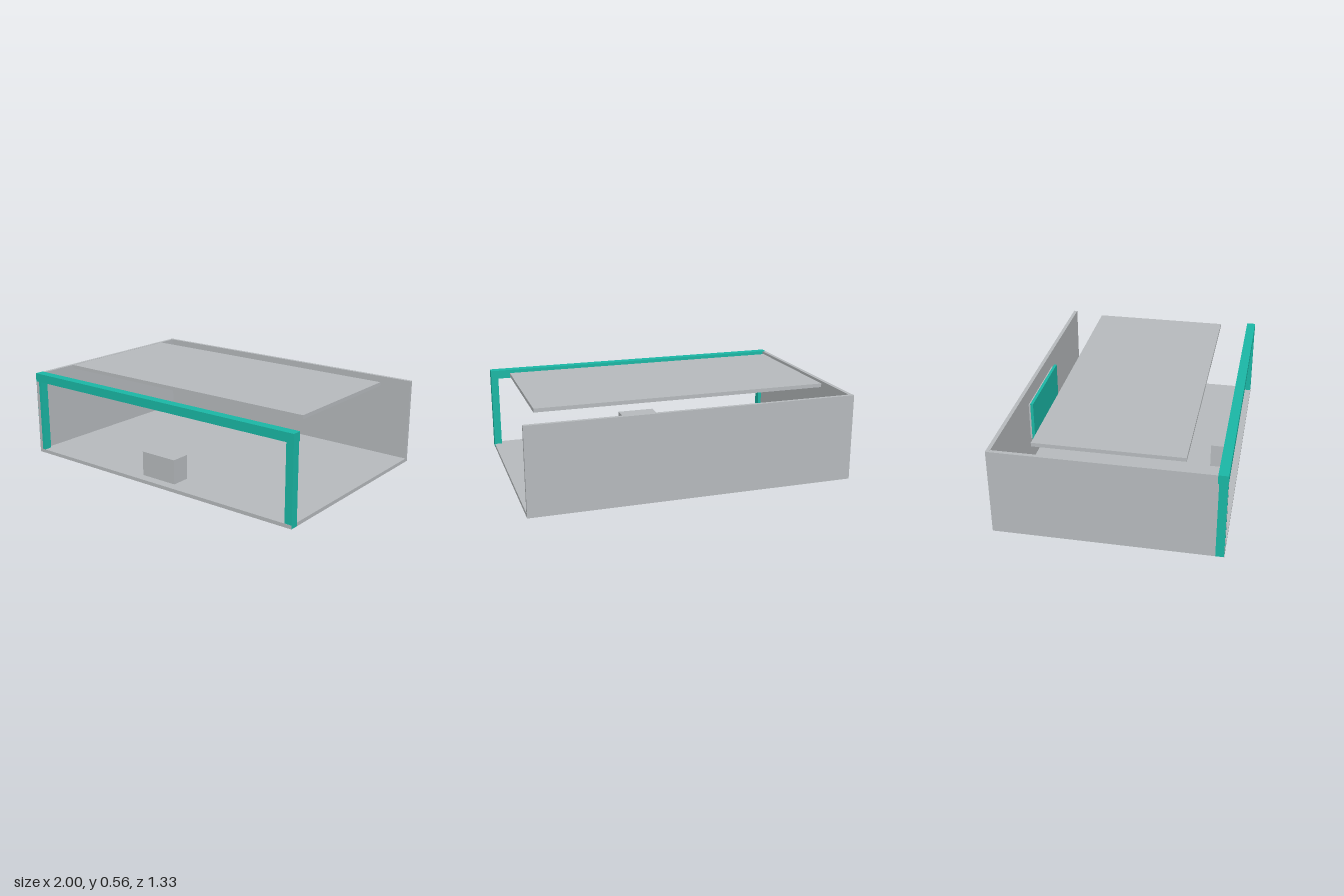
import * as THREE from 'three';

export function createModel() {
  const model = new THREE.Group();
  model.name = 'openBooth';

  const grey = new THREE.MeshStandardMaterial({ color: 0xb6babd });
  grey.name = 'light grey';
  const teal = new THREE.MeshStandardMaterial({ color: 0x1ab7a5 });
  teal.name = 'teal';

  // Box given by its extents along each axis
  function slab(name, material, [x0, x1], [y0, y1], [z0, z1], parent = model) {
    const mesh = new THREE.Mesh(new THREE.BoxGeometry(x1 - x0, y1 - y0, z1 - z0), material);
    mesh.position.set((x0 + x1) / 2, (y0 + y1) / 2, (z0 + z1) / 2);
    mesh.name = name;
    parent.add(mesh);
    return mesh;
  }

  // Shell: floor, back wall and one side wall; the other side stays open
  slab('floor', grey, [-0.999, 0.999], [0, 0.022], [-0.667, 0.667]);
  slab('backWall', grey, [-0.999, 0.999], [0.022, 0.535], [-0.667, -0.644]);
  slab('sideWall', grey, [-0.999, -0.976], [0.022, 0.534], [-0.644, 0.6665]);

  // Front portal: two posts standing under a beam
  const portal = new THREE.Group();
  portal.name = 'frontPortal';
  model.add(portal);
  for (const side of [-1, 1]) {
    const x = side < 0 ? [-1, -0.953] : [0.953, 1];
    slab(side < 0 ? 'rightPost' : 'leftPost', teal, x, [0.001, 0.481], [0.617, 0.666], portal);
  }
  slab('beam', teal, [-1, 1], [0.481, 0.535], [0.61, 0.667], portal);

  // Floating ceiling panel
  slab('ceilingPanel', grey, [-0.9, 0.9], [0.535, 0.558], [-0.435, 0.43]);

  // Counter near the front edge
  slab('counter', grey, [-0.125, 0.125], [0.022, 0.174], [0.49, 0.608]);

  // Display board on its wall mount
  slab('displayMount', grey, [-0.27, 0.27], [0.19, 0.433], [-0.644, -0.63]);
  slab('displayBoard', teal, [-0.281, 0.281], [0.178, 0.445], [-0.63, -0.612]);

  return model;
}
